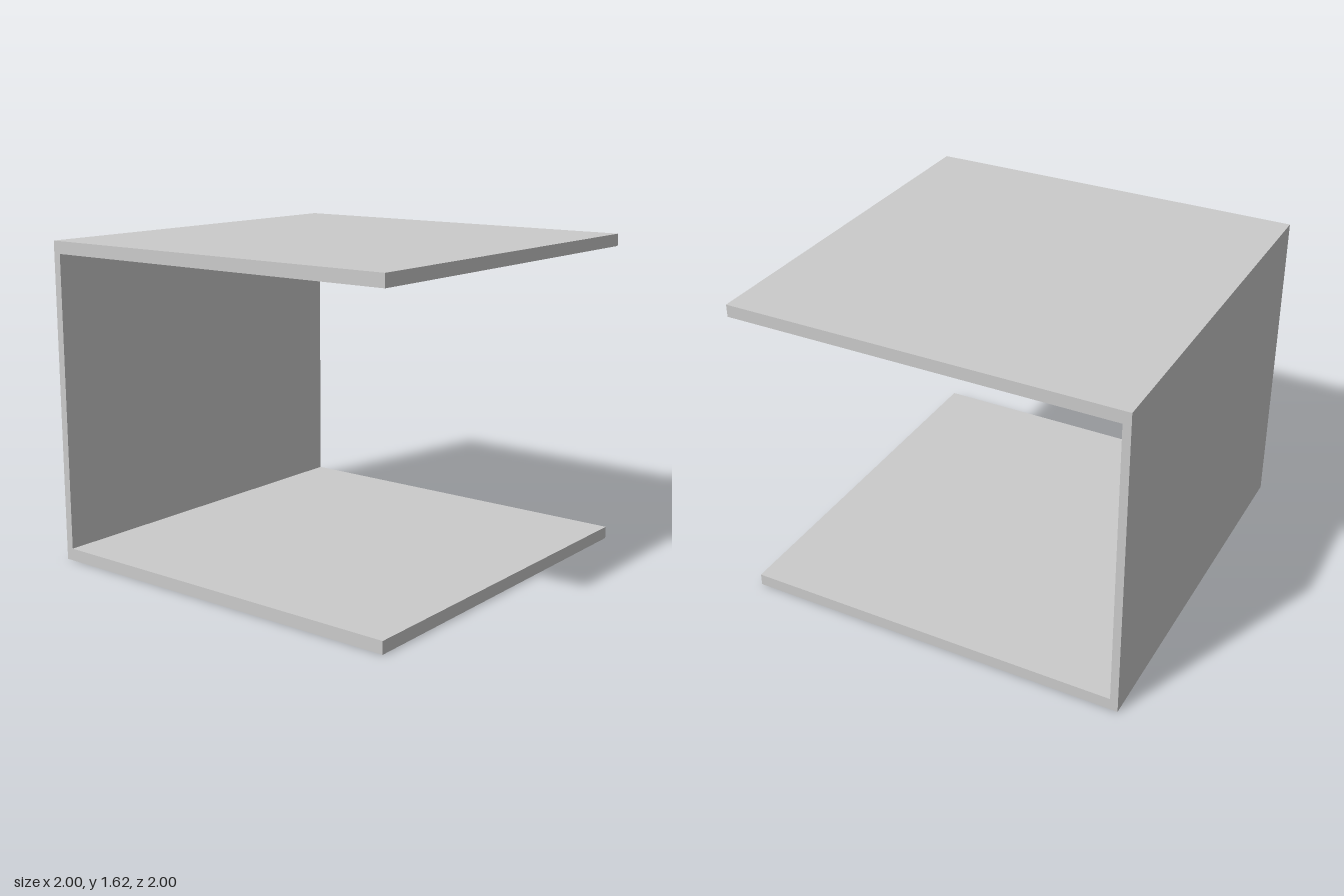
import * as THREE from 'three';

const WIDTH = 2, DEPTH = 2, HEIGHT = 1.625;
const SLAB = 0.0625; // thickness of the top and bottom slabs
const BACK = 0.04;   // thickness of the back wall

export function createModel() {
  const group = new THREE.Group();
  group.name = 'openShelf';

  // C-shaped side profile: x is depth (front positive), y is up
  const f = DEPTH / 2, b = -DEPTH / 2;
  const profile = new THREE.Shape([
    [b, 0], [f, 0], [f, SLAB], [b + BACK, SLAB],
    [b + BACK, HEIGHT - SLAB], [f, HEIGHT - SLAB], [f, HEIGHT], [b, HEIGHT],
  ].map(([z, y]) => new THREE.Vector2(z, y)));

  // Extrude across the width, then turn the profile's x axis to face +z
  const geometry = new THREE.ExtrudeGeometry(profile, { depth: WIDTH, bevelEnabled: false });
  geometry.translate(0, 0, -WIDTH / 2);
  geometry.rotateY(-Math.PI / 2);

  const shell = new THREE.Mesh(geometry, new THREE.MeshStandardMaterial({ color: 0xcccccc }));
  shell.name = 'topBackAndBottomPanels';
  group.add(shell);
  return group;
}
